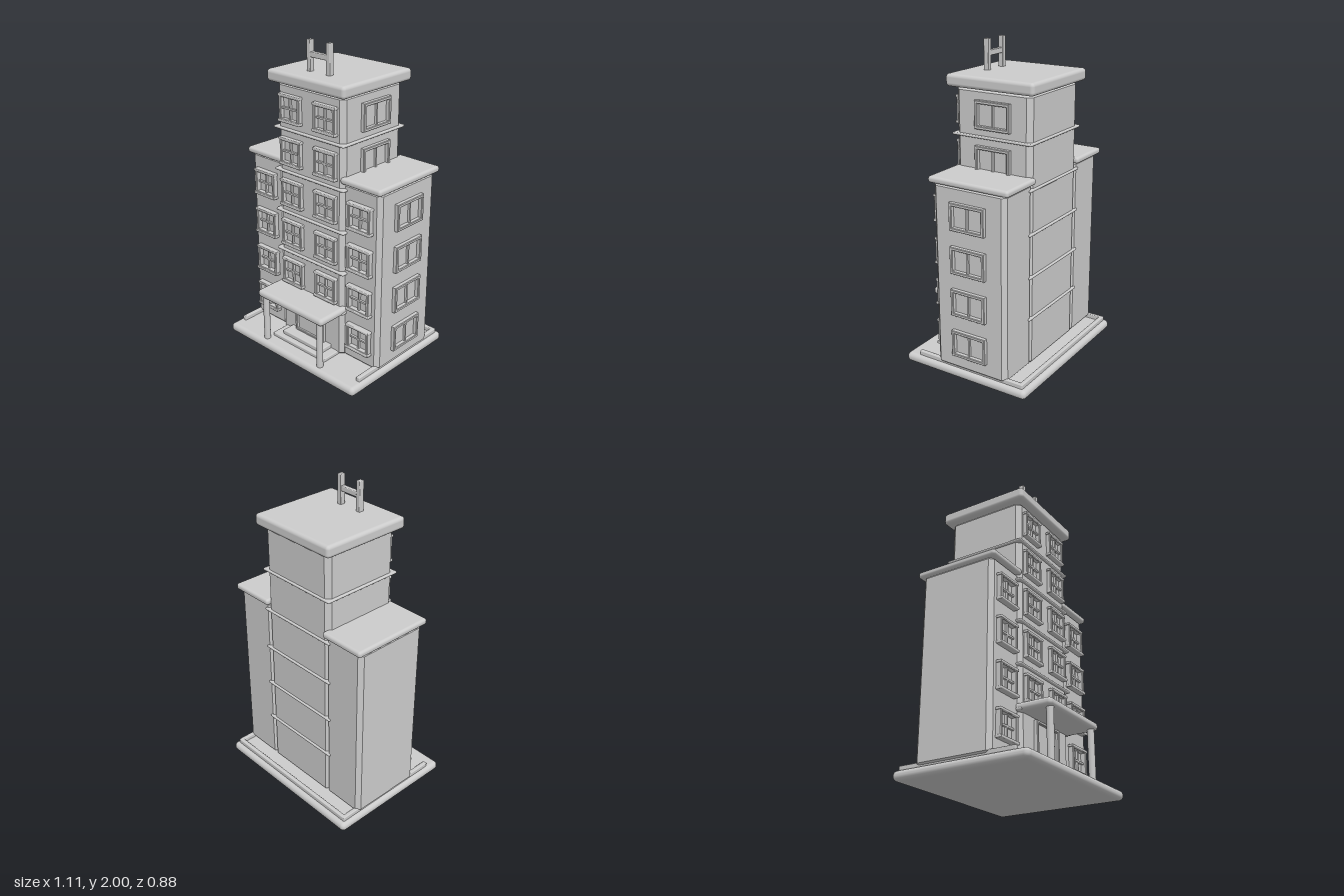
import * as THREE from 'three';
import { RoundedBoxGeometry } from 'three/addons/geometries/RoundedBoxGeometry.js';

export function createModel() {
  const root = new THREE.Group();
  root.name = 'towerBlock';
  const stone = new THREE.MeshStandardMaterial({ color: 0xcccccc });
  stone.name = 'paleGrey';

  const add = (name, geometry, parent = root) => {
    const mesh = new THREE.Mesh(geometry, stone);
    mesh.name = name;
    parent.add(mesh);
    return mesh;
  };

  // Rounded slab given by its limits on each axis
  const slab = (name, [x0, x1], [y0, y1], [z0, z1], r = 0.01, parent = root) => {
    const w = x1 - x0, h = y1 - y0, d = z1 - z0;
    const radius = Math.min(r, w * 0.49, h * 0.49, d * 0.49);
    const mesh = add(name, new RoundedBoxGeometry(w, h, d, 3, radius), parent);
    mesh.position.set((x0 + x1) / 2, (y0 + y1) / 2, (z0 + z1) / 2);
    return mesh;
  };

  // Wall block with chamfered corners, top and bottom
  const block = (name, [x0, x1], [y0, y1], [z0, z1], c) => {
    const s = new THREE.Shape([
      [x0 + c, -z1], [x1 - c, -z1], [x1, -z1 + c], [x1, -z0 - c],
      [x1 - c, -z0], [x0 + c, -z0], [x0, -z0 - c], [x0, -z1 + c],
    ].map(([x, y]) => new THREE.Vector2(x, y)));
    const b = 0.022;
    const g = new THREE.ExtrudeGeometry(s, {
      depth: y1 - y0 - 2 * b, bevelSize: b, bevelThickness: b, bevelOffset: -b, bevelSegments: 1,
    });
    g.rotateX(-Math.PI / 2).translate(0, y0 + b, 0);
    return add(name, g);
  };

  // Rectangular frame with an open middle, facing +z
  const frameGeometry = (w, h, t, depth) => {
    const rect = (S, a, b) => new S([[-a, -b], [a, -b], [a, b], [-a, b]].map(([x, y]) => new THREE.Vector2(x, y)));
    const s = rect(THREE.Shape, w / 2, h / 2);
    s.holes.push(rect(THREE.Path, w / 2 - t, h / 2 - t));
    return new THREE.ExtrudeGeometry(s, {
      depth: depth - 0.004, bevelSize: 0.004, bevelThickness: 0.004, bevelOffset: -0.004, bevelSegments: 1,
    });
  };

  // Window with frame, glazing bars, head and sill
  const makeWindow = (name, w, h, depth, crossBar) => {
    const g = new THREE.Group();
    g.name = name;
    add('windowFrame', frameGeometry(w, h, 0.02, depth), g);
    add('mullion', new THREE.BoxGeometry(0.011, h - 0.03, 0.014), g).position.z = 0.013;
    if (crossBar) {
      add('crossBar', new THREE.BoxGeometry(w - 0.03, 0.011, 0.014), g).position.z = 0.013;
      const sill = [-w / 2 - 0.005, w / 2 + 0.005];
      slab('sill', sill, [-h / 2 - 0.001, -h / 2 + 0.017], [0, depth + 0.006], 0.005, g);
      slab('windowHead', sill, [h / 2 - 0.016, h / 2 + 0.001], [0, depth + 0.003], 0.005, g);
    }
    root.add(g);
    return g;
  };

  // Ground slab and low kerb around the sides and back
  slab('base', [-0.555, 0.545], [0, 0.06], [-0.44, 0.44], 0.028);
  slab('kerbBack', [-0.53, 0.52], [0.055, 0.087], [-0.41, -0.383], 0.006);
  slab('kerbLeft', [0.493, 0.52], [0.055, 0.087], [-0.41, 0.35], 0.006);
  slab('kerbRight', [-0.53, -0.503], [0.055, 0.087], [-0.41, 0.35], 0.006);

  // Central tower and its roof
  block('tower', [-0.275, 0.265], [0.055, 1.745], [-0.3, 0.22], 0.03);
  slab('towerRoof', [-0.315, 0.305], [1.74, 1.815], [-0.337, 0.262], 0.022);

  // Side wings and their roofs
  block('rightWing', [-0.54, -0.25], [0.058, 1.235], [-0.3, 0.2], 0.026);
  block('leftWing', [0.24, 0.53], [0.058, 1.235], [-0.3, 0.2], 0.026);
  slab('rightWingRoof', [-0.555, -0.25], [1.225, 1.265], [-0.327, 0.224], 0.017);
  slab('leftWingRoof', [0.24, 0.545], [1.225, 1.265], [-0.327, 0.224], 0.017);

  // Floor bands around the tower
  for (let i = 0; i < 5; i++) {
    const y = 0.375 + i * 0.271;
    slab('floorBand', [-0.29, 0.28], [y - 0.008, y + 0.008], [-0.312, 0.236], 0.007);
  }

  // Front windows
  const storey = 0.27;
  for (let i = 0; i < 5; i++)
    for (const x of [-0.148, 0.133])
      makeWindow('towerWindow', 0.17, 0.172, 0.03, true).position.set(x, 0.513 + i * storey, 0.217);
  for (let i = 0; i < 4; i++)
    for (const x of [-0.4, 0.39])
      makeWindow('wingWindow', 0.175, 0.17, 0.036, true).position.set(x, 0.24 + i * storey, 0.197);

  // Windows on the left side
  const sideWindow = (name, x, y) => {
    const w = makeWindow(name, 0.24, 0.17, 0.029, false);
    w.position.set(x, y, -0.05);
    w.rotation.y = Math.PI / 2;
  };
  for (let i = 0; i < 4; i++) sideWindow('wingSideWindow', 0.527, 0.24 + i * storey);
  for (let i = 0; i < 2; i++) sideWindow('towerSideWindow', 0.262, 1.323 + i * storey);

  // Porch: canopy on two columns, with steps
  slab('canopy', [-0.288, 0.275], [0.363, 0.412], [0.18, 0.422], 0.022);
  for (const x of [-0.242, 0.232])
    add('column', new THREE.CylinderGeometry(0.021, 0.021, 0.32, 20)).position.set(x, 0.215, 0.39);
  slab('lowerStep', [-0.235, 0.225], [0.055, 0.082], [0.15, 0.345], 0.006);
  slab('upperStep', [-0.178, 0.167], [0.075, 0.108], [0.15, 0.31], 0.006);

  // Door with frame and knob
  const frame = add('doorFrame', frameGeometry(0.25, 0.25, 0.018, 0.03));
  frame.position.set(-0.006, 0.227, 0.215);
  slab('door', [-0.112, 0.1], [0.105, 0.336], [0.2, 0.23], 0.004);
  add('doorKnob', new THREE.SphereGeometry(0.009, 12, 8)).position.set(0.06, 0.2, 0.234);

  // Open frame standing on the roof
  for (const x of [-0.084, 0.07])
    slab('roofPost', [x - 0.015, x + 0.015], [1.81, 2], [0.105, 0.14], 0.005);
  slab('roofCrossbar', [-0.075, 0.06], [1.898, 1.93], [0.107, 0.138], 0.005);

  return root;
}
